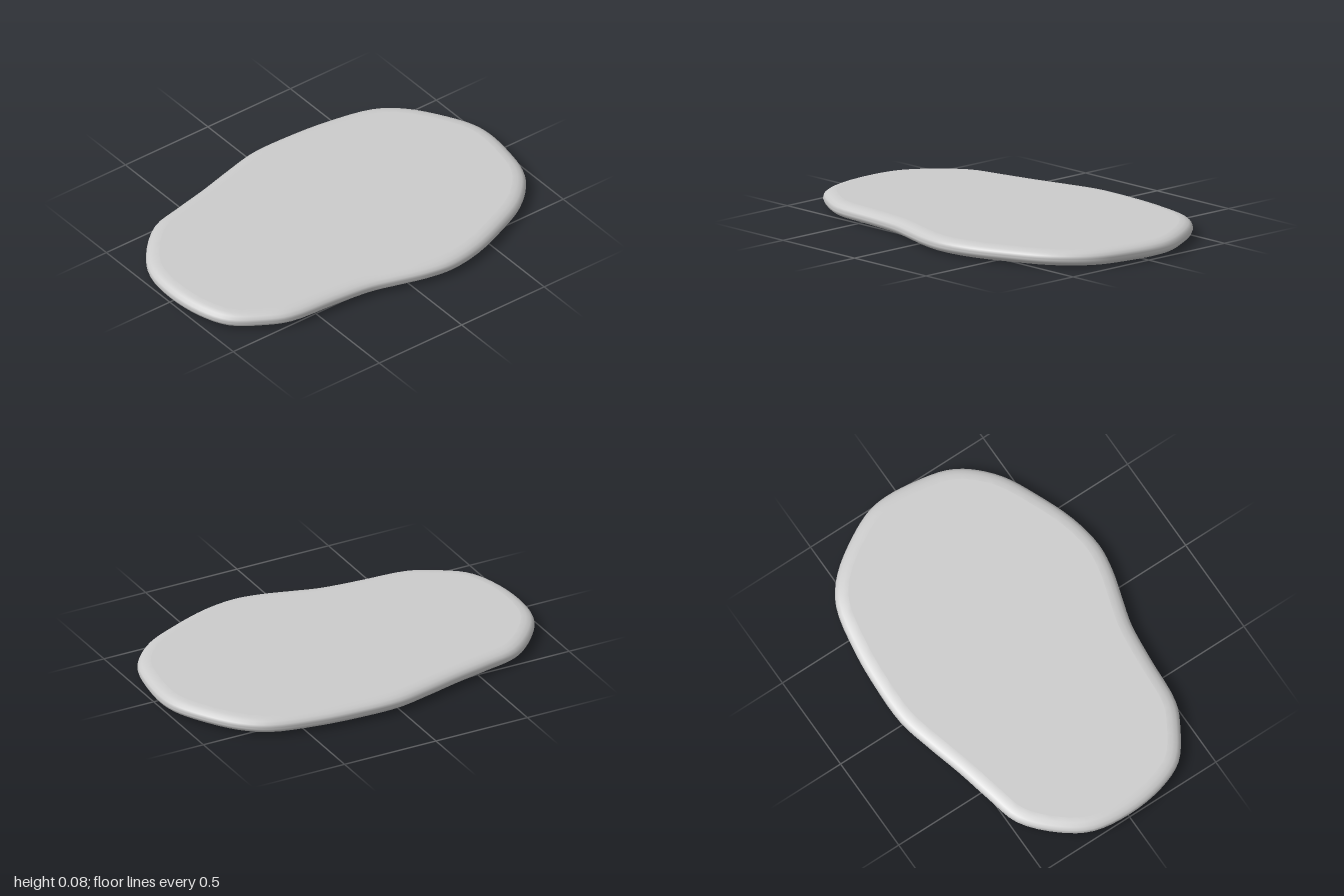
import * as THREE from 'three';
import { toCreasedNormals } from 'three/addons/utils/BufferGeometryUtils.js';

// Outline of the slab as [x, z], clockwise from the back edge
const OUTLINE = [
  [0, -0.65], [0.22, -0.65], [0.43, -0.63], [0.67, -0.575], [0.8, -0.48], [0.92, -0.31],
  [0.985, -0.17], [1, -0.06], [0.985, 0.1], [0.95, 0.25], [0.89, 0.35], [0.77, 0.46],
  [0.6, 0.545], [0.4, 0.62], [0.22, 0.648], [0.08, 0.63], [-0.06, 0.59], [-0.2, 0.55],
  [-0.4, 0.527], [-0.65, 0.505], [-0.77, 0.45], [-0.91, 0.345], [-0.975, 0.2], [-1, 0],
  [-0.975, -0.19], [-0.89, -0.33], [-0.73, -0.472], [-0.55, -0.52], [-0.37, -0.56], [-0.18, -0.61],
];
const HEIGHT = 0.077;
const BEVEL_HEIGHT = 0.035;
const BEVEL_WIDTH = 0.065;

export function createModel() {
  const group = new THREE.Group();
  group.name = 'steppingStone';

  // Smooth closed outline
  const curve = new THREE.CatmullRomCurve3(
    OUTLINE.map(([x, z]) => new THREE.Vector3(x, -z, 0)), true, 'centripetal');
  const points = curve.getPoints(120).slice(0, -1).map((p) => new THREE.Vector2(p.x, p.y));

  // Thin slab with a rounded rim on both faces
  const extruded = new THREE.ExtrudeGeometry(new THREE.Shape(points), {
    depth: HEIGHT - 2 * BEVEL_HEIGHT,
    bevelThickness: BEVEL_HEIGHT,
    bevelSize: BEVEL_WIDTH,
    bevelOffset: -BEVEL_WIDTH,
    bevelSegments: 4,
  });
  const caps = extruded.groups[0];
  const geometry = toCreasedNormals(extruded, 1.1);

  // Keep the top and bottom faces perfectly flat-shaded
  const { position, normal } = geometry.attributes;
  for (let i = caps.start; i < caps.start + caps.count; i++) {
    normal.setXYZ(i, 0, 0, position.getZ(i) > 0 ? 1 : -1);
  }
  geometry.clearGroups();
  geometry.rotateX(-Math.PI / 2);
  geometry.translate(0, BEVEL_HEIGHT, 0);

  const slab = new THREE.Mesh(geometry, new THREE.MeshStandardMaterial({ color: 0xcccccc }));
  slab.name = 'slab';
  group.add(slab);
  return group;
}
